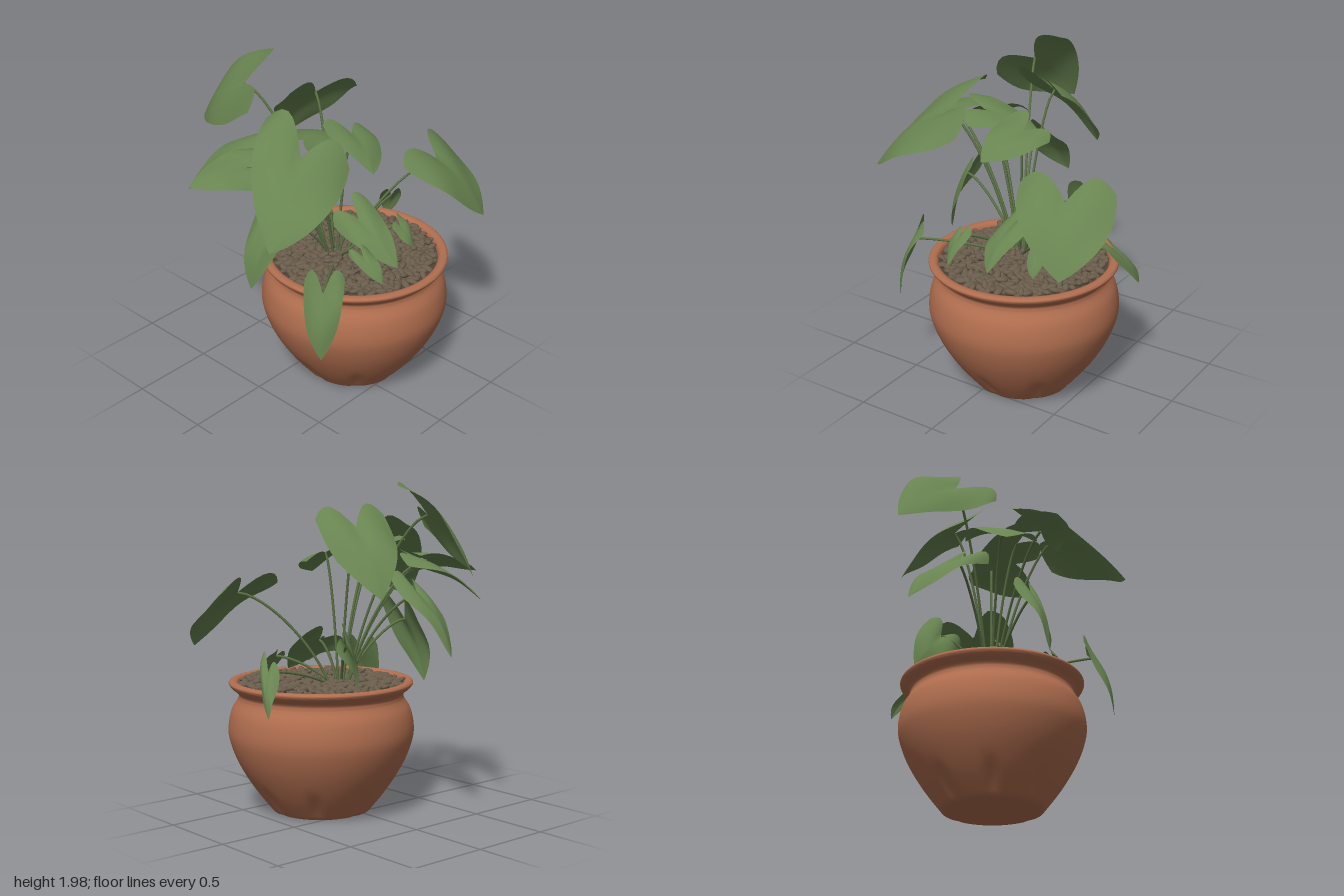
import * as THREE from 'three';
import { mergeGeometries, toCreasedNormals } from 'three/addons/utils/BufferGeometryUtils.js';

const mat = (name, color, side = THREE.FrontSide) => {
  const m = new THREE.MeshStandardMaterial({ color, side });
  m.name = name;
  return m;
};
const V = (a) => new THREE.Vector3(...a);

// small seeded random generator
function seeded(seed) {
  return () => {
    seed = (seed * 16807) % 2147483647;
    return seed / 2147483647;
  };
}

// centre of the pot and the point where all stems grow from
const POT_X = 0.11, POT_Z = 0.22;
const CROWN = [0.03, 0.75, 0.14];

// each leaf: notch where the stem meets it, tip, half-width vector
const LEAVES = [
  [[0.54, 1.33, 0.47], [0.67, 1.0, 0.74], [0.26, -0.02, -0.1]],
  [[-0.39, 1.6, 0.26], [-0.8, 1.24, 0.42], [0.07, -0.1, 0.26]],
  [[-0.2, 1.79, -0.37], [-0.16, 1.46, -0.77], [0.17, 0.14, -0.09]],
  [[0.11, 1.72, -0.1], [0.21, 1.33, -0.43], [0.2, -0.02, 0.09]],
  [[-0.36, 1.5, -0.15], [-0.64, 1.27, -0.39], [-0.12, 0, 0.18]],
  [[-0.54, 1.5, -0.01], [-0.82, 1.43, -0.17], [-0.07, -0.05, 0.13]],
  [[-0.47, 0.87, 0.5], [-0.55, 0.5, 0.56], [0.06, 0.01, 0.1]],
  [[-0.41, 1.14, 0.04], [-0.56, 0.74, 0.02], [0.05, 0.02, 0.11]],
  [[-0.17, 1.33, -0.32], [-0.12, 1.0, -0.65], [0.13, 0.04, -0.02]],
  [[-0.22, 1.6, 0.12], [0.11, 1.5, 0.05], [0.07, -0.03, 0.15]],
  [[0.09, 1.56, 0.2], [-0.02, 1.43, 0.46], [0.15, -0.05, 0.05]],
  [[0.09, 1.03, 0.26], [0.09, 0.82, 0.57], [0.13, 0.05, 0]],
  [[-0.14, 0.97, 0.5], [-0.13, 0.84, 0.64], [0.06, 0.01, 0.02]],
  [[0.32, 0.94, 0.39], [0.34, 0.82, 0.48], [0.06, 0.02, -0.02]],
  [[0.62, 0.91, 0.07], [0.72, 0.67, -0.06], [-0.01, 0.04, 0.09]],
  [[0.2, 1.04, -0.12], [0.25, 0.82, -0.28], [0.06, 0.09, -0.08]],
];

// heart-shaped, gently arched blade made from rows of cross-sections
function leafGeometry(base, tip, half, phase) {
  const axis = tip.clone().sub(base);
  const length = axis.length();
  const normal = axis.clone().cross(half).normalize();
  if (normal.y < 0) normal.negate();
  const rows = 14, cols = 14, pos = [], index = [];
  for (let i = 0; i <= rows; i++) {
    const t = i / rows;
    const width = (1 - t) * (0.95 + 1.3 * t);
    for (let j = 0; j <= cols; j++) {
      const u = (j / cols) * 2 - 1, a = Math.abs(u);
      const lobe = 0.36 * (1 - t) ** 2 * Math.sin(Math.PI * 0.8 * a);
      const lift = length * (0.09 * Math.sin(Math.PI * t) - 0.1 * u * u * (1 - t)
        + 0.05 * a * Math.sin(7 * t + 2 * u + phase) * (1 - t));
      const p = base.clone()
        .addScaledVector(axis, t - lobe)
        .addScaledVector(half, u * width)
        .addScaledVector(normal, lift);
      pos.push(p.x, p.y, p.z);
      if (i < rows && j < cols) {
        const k = i * (cols + 1) + j, n = k + cols + 1;
        index.push(k, k + 1, n, k + 1, n + 1, n);
      }
    }
  }
  const g = new THREE.BufferGeometry();
  g.setAttribute('position', new THREE.Float32BufferAttribute(pos, 3));
  g.setIndex(index);
  g.computeVertexNormals();
  return g;
}

// arching stem from the crown to a leaf notch
function stemGeometry(base) {
  const start = V(CROWN);
  start.x += base.x * 0.08;
  start.z += (base.z - 0.14) * 0.1;
  const c1 = start.clone().lerp(base, 0.2);
  const c2 = start.clone().lerp(base, 0.72);
  c1.y = start.y + (base.y - start.y) * 0.5;
  c2.y = start.y + (base.y - start.y) * 0.98;
  return new THREE.TubeGeometry(new THREE.CubicBezierCurve3(start, c1, c2, base), 16, 0.008, 6);
}

// turned pot with a rolled rim and shallow flutes around the foot
function potGeometry() {
  const body = new THREE.SplineCurve([
    [0.3, 0.008], [0.41, 0.15], [0.5, 0.3], [0.55, 0.43], [0.56, 0.52], [0.54, 0.62],
    [0.5, 0.69], [0.5, 0.725], [0.54, 0.76], [0.555, 0.785], [0.54, 0.8], [0.5, 0.79], [0.485, 0.72],
  ].map(([r, y]) => new THREE.Vector2(r, y))).getPoints(48);
  const g = new THREE.LatheGeometry([new THREE.Vector2(0, 0), new THREE.Vector2(0.275, 0), ...body], 96);
  const p = g.attributes.position;
  for (let i = 0; i < p.count; i++) {
    const x = p.getX(i), y = p.getY(i), z = p.getZ(i);
    if (y > 0.2) continue;
    const dent = Math.max(0, Math.cos(8 * Math.atan2(z, x))) ** 3;
    const s = 1 - 0.045 * dent * Math.sin(Math.PI * Math.min(1, (y + 0.04) / 0.24));
    p.setXYZ(i, x * s, Math.max(0, y), z * s);
  }
  return toCreasedNormals(g, 0.8);
}

// bed of elongated pebbles laid out on a sunflower spiral
function pebbleGeometry() {
  const rand = seeded(42), parts = [], count = 560;
  const m = new THREE.Matrix4(), q = new THREE.Quaternion();
  for (let i = 0; i < count; i++) {
    const r = 0.475 * Math.sqrt((i + 0.5) / count), a = i * 2.39996;
    const size = 0.8 + 0.4 * rand();
    q.setFromEuler(new THREE.Euler((rand() - 0.5) * 0.8, rand() * Math.PI, (rand() - 0.5) * 0.8));
    m.compose(
      new THREE.Vector3(r * Math.cos(a), 0.772 + 0.022 * rand(), r * Math.sin(a)), q,
      new THREE.Vector3(0.039 * size, 0.016 * size, 0.021 * size));
    parts.push(new THREE.IcosahedronGeometry(1, 1).applyMatrix4(m));
  }
  return mergeGeometries(parts);
}

export function createModel() {
  const terracotta = mat('terracotta', 0xb06e4f);
  const soilBrown = mat('soil brown', 0x4f4539);
  const pebbleBrown = mat('pebble brown', 0x6a5d4c);
  const leafGreen = mat('leaf green', 0x688450, THREE.DoubleSide);
  const stemGreen = mat('stem green', 0x5d7345);

  const model = new THREE.Group();
  model.name = 'pottedPlant';
  const add = (parent, name, geometry, material) => {
    const mesh = new THREE.Mesh(geometry, material);
    mesh.name = name;
    parent.add(mesh);
    return mesh;
  };

  // pot with its filling
  const planter = new THREE.Group();
  planter.name = 'planter';
  planter.position.set(POT_X, 0, POT_Z);
  model.add(planter);
  add(planter, 'pot', potGeometry(), terracotta);
  add(planter, 'soil', new THREE.CircleGeometry(0.495, 48).rotateX(-Math.PI / 2), soilBrown).position.y = 0.77;
  add(planter, 'pebbles', pebbleGeometry(), pebbleBrown);

  // stems and leaves
  const plant = new THREE.Group();
  plant.name = 'plant';
  model.add(plant);
  LEAVES.forEach(([base, tip, half], i) => {
    add(plant, 'leaf' + (i + 1), leafGeometry(V(base), V(tip), V(half), i * 1.7), leafGreen);
    add(plant, 'stem' + (i + 1), stemGeometry(V(base)), stemGreen);
  });
  return model;
}
